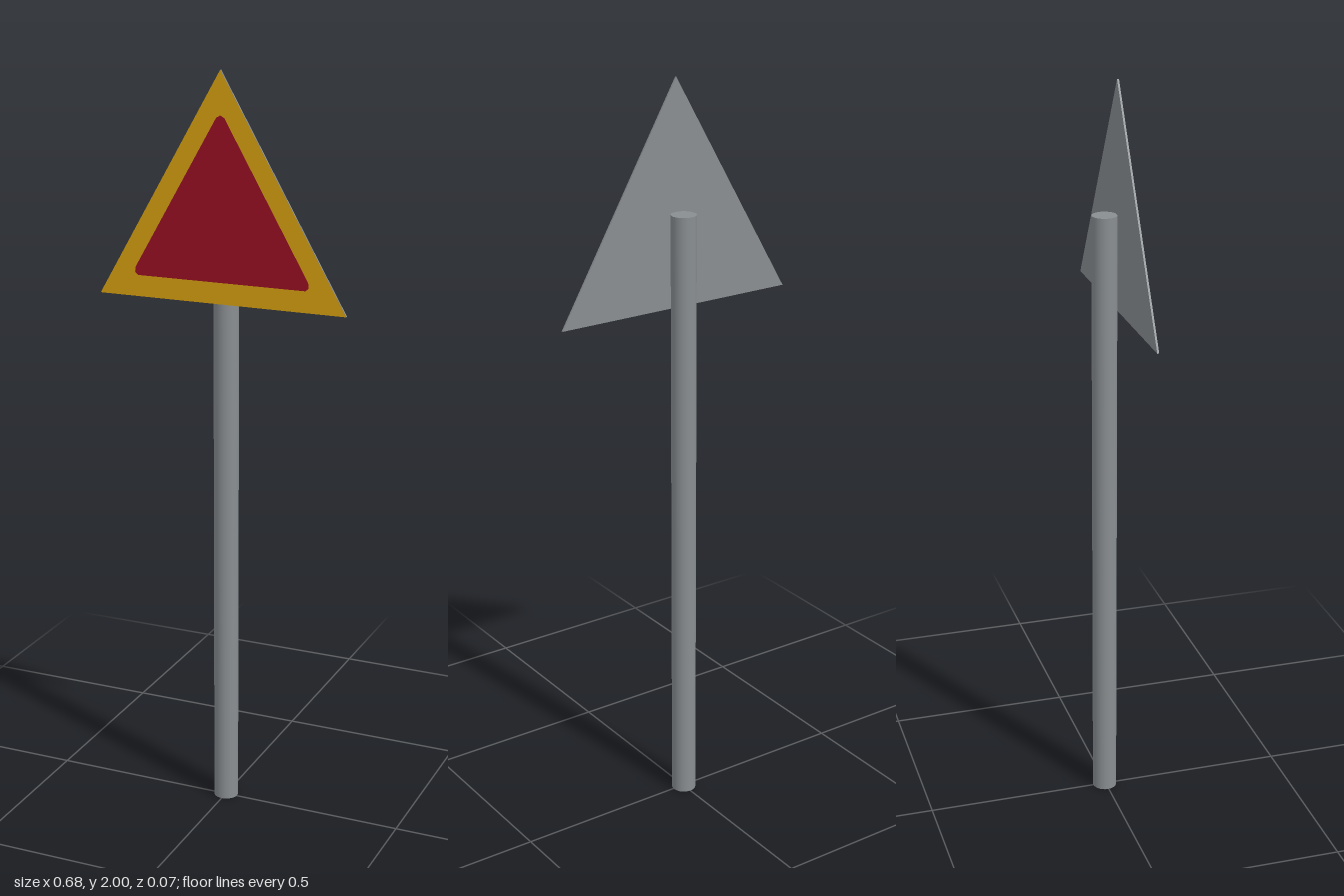
import * as THREE from 'three';

const polygon = (points) => new THREE.Shape(points.map(([x, y]) => new THREE.Vector2(x, y)));

export function createModel() {
  const steel = new THREE.MeshStandardMaterial({ name: 'grey steel', color: 0x898e91 });
  const yellow = new THREE.MeshStandardMaterial({ name: 'yellow', color: 0xd6a010 });
  const red = new THREE.MeshStandardMaterial({ name: 'dark red', color: 0x9a0f24 });

  const group = new THREE.Group();
  group.name = 'warningSign';
  const add = (name, geometry, material, y, z) => {
    const mesh = new THREE.Mesh(geometry, material);
    mesh.name = name;
    mesh.position.set(0, y, z);
    group.add(mesh);
  };

  // Round post
  add('post', new THREE.CylinderGeometry(0.033, 0.033, 1.66, 32), steel, 0.83, -0.003);

  // Triangular steel plate
  const outer = [[-0.342, 1.408], [0.342, 1.408], [0, 2]];
  add('plate', new THREE.ExtrudeGeometry(polygon(outer), { depth: 0.005, bevelEnabled: false }),
    steel, 0, 0.029);

  // Painted front: yellow border around a red panel with clipped corners
  const inner = [
    [-0.232, 1.464], [0.232, 1.464], [0.241, 1.472], [0.239, 1.486],
    [0.011, 1.882], [0, 1.888], [-0.011, 1.882], [-0.239, 1.486], [-0.241, 1.472],
  ];
  const border = polygon(outer);
  border.holes.push(polygon(inner));
  add('border', new THREE.ShapeGeometry(border), yellow, 0, 0.035);
  add('panel', new THREE.ShapeGeometry(polygon(inner)), red, 0, 0.035);

  return group;
}
